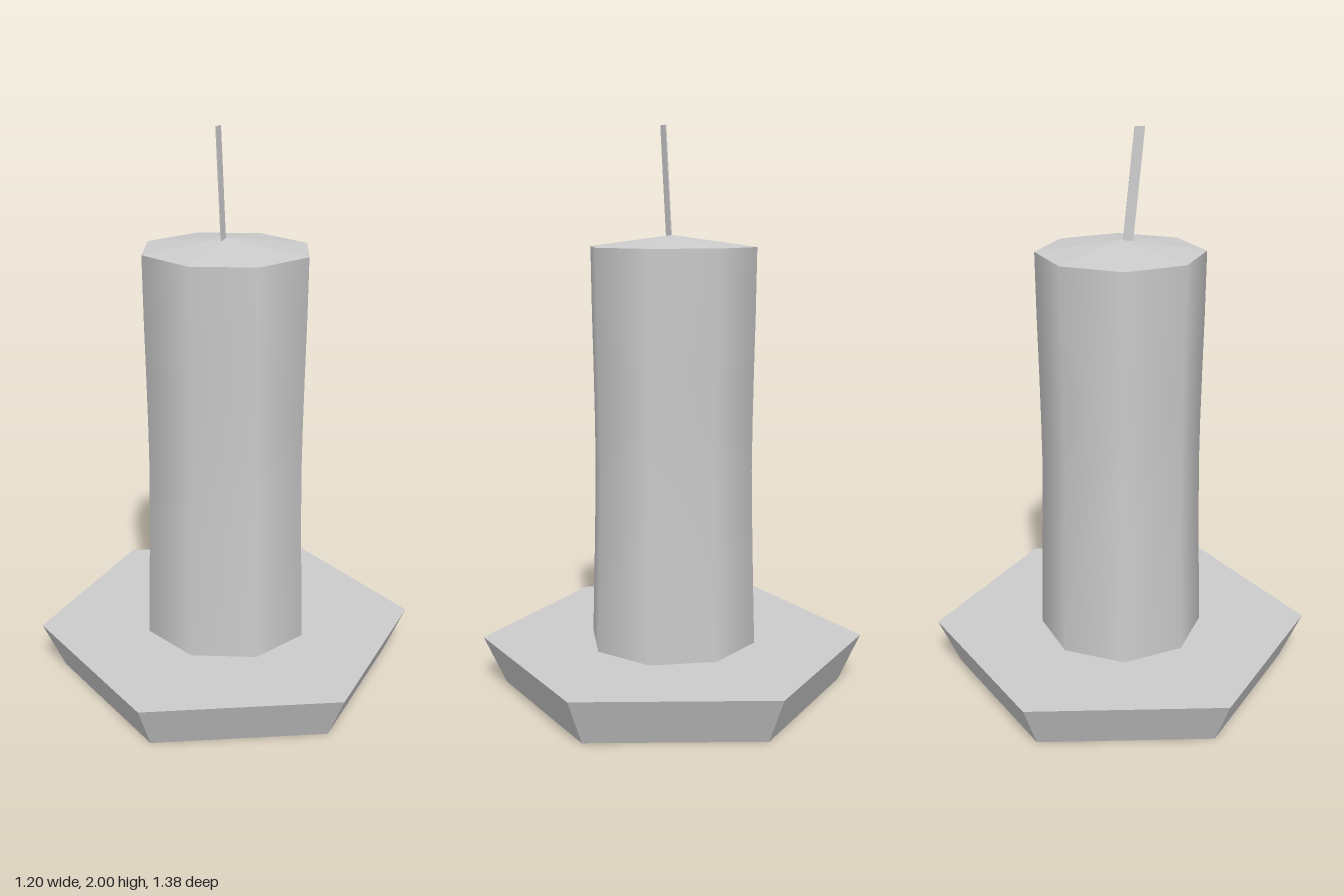
import * as THREE from 'three';

export function createModel() {
  const group = new THREE.Group();
  const smooth = new THREE.MeshStandardMaterial({ color: 0xcccccc, side: THREE.DoubleSide });
  const flat = new THREE.MeshStandardMaterial({ color: 0xcccccc, flatShading: true });

  const add = (name, geometry, material, y = 0) => {
    const mesh = new THREE.Mesh(geometry, material);
    mesh.name = name;
    mesh.position.y = y;
    group.add(mesh);
    return mesh;
  };

  // Six-sided holder that flares upward
  add('base', new THREE.CylinderGeometry(0.69, 0.61, 0.17, 6), flat, 0.085);

  // Eight-sided wax body with a slightly narrowed waist
  const profile = [
    [0.307, 0.165], [0.3, 0.4], [0.295, 0.6], [0.291, 0.8],
    [0.292, 0.97], [0.295, 1.16], [0.299, 1.35], [0.302, 1.585],
  ].map(([r, y]) => new THREE.Vector2(r, y));
  add('waxBody', new THREE.LatheGeometry(profile, 8), smooth).scale.z = 0.97;

  // Shallow pointed top of the wax
  add('waxTop', new THREE.ConeGeometry(0.302, 0.04, 8, 1, true), flat, 1.605).scale.z = 0.97;

  // Thin flat wick, leaning forward as it rises
  const wick = new THREE.BoxGeometry(0.004, 0.4, 0.035);
  const p = wick.attributes.position;
  for (let i = 0; i < p.count; i++) {
    const t = (p.getY(i) + 0.2) / 0.4;
    p.setZ(i, p.getZ(i) + 0.022 + 0.04 * t);
  }
  wick.computeVertexNormals();
  add('wick', wick, flat, 1.8);

  return group;
}
